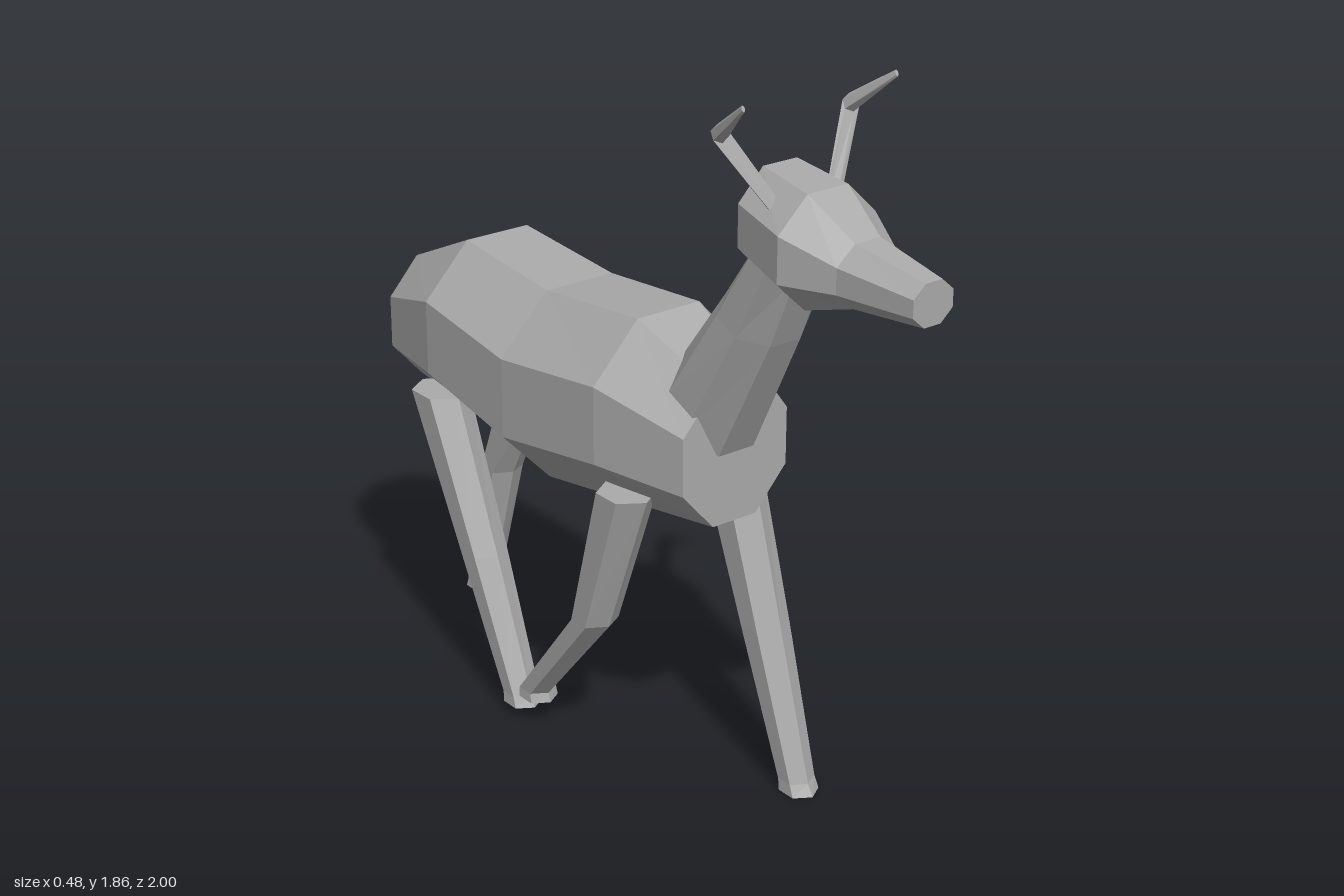
import * as THREE from 'three';

const coat = new THREE.MeshStandardMaterial({ color: 0xaaaaaa, flatShading: true });
coat.name = 'grey coat';

// Skin a row of n-sided rings. Ring: [x, y, z, half width in x, then the y and z of its other half axis].
function loft(name, n, rings) {
  const grow = 1 / Math.cos(Math.PI / n);
  const pos = [];
  for (const [x, y, z, rx, vy, vz] of rings) {
    for (let k = 0; k < n; k++) {
      const a = ((k + 0.5) / n) * Math.PI * 2;
      const c = Math.cos(a) * grow, s = Math.sin(a) * grow;
      pos.push(x + rx * c, y + vy * s, z + vz * s);
    }
  }
  const index = [];
  for (let i = 0; i < rings.length - 1; i++) {
    for (let k = 0; k < n; k++) {
      const a = i * n + k, b = i * n + ((k + 1) % n);
      index.push(a, b, b + n, a, b + n, a + n);
    }
  }
  const last = (rings.length - 1) * n;
  for (let k = 1; k < n - 1; k++) {
    index.push(0, k + 1, k, last, last + k, last + k + 1);
  }
  const indexed = new THREE.BufferGeometry();
  indexed.setAttribute('position', new THREE.Float32BufferAttribute(pos, 3));
  indexed.setIndex(index);
  const geometry = indexed.toNonIndexed();
  geometry.computeVertexNormals();
  const mesh = new THREE.Mesh(geometry, coat);
  mesh.name = name;
  return mesh;
}

// Leg rings from hip to hoof: [y, z, half width, half depth]
const leg = (name, x, rings) =>
  loft(name, 6, rings.map(([y, z, rx, rz]) => [x, y, z, rx, 0, rz]));

export function createModel() {
  const model = new THREE.Group();
  model.name = 'deer';

  // Barrel, rump to chest
  model.add(loft('body', 8, [
    [-0.008, 0.905, -0.873, 0.147, 0.165, 0],
    [0, 0.962, -0.6, 0.222, 0.233, 0],
    [0, 0.918, -0.25, 0.238, 0.248, 0],
    [0, 0.962, 0.1, 0.222, 0.238, 0],
    [0, 0.925, 0.35, 0.155, 0.175, 0],
  ]));

  // Neck, shoulders to skull
  model.add(loft('neck', 8, [
    [0, 1.035, 0.287, 0.125, 0.107, -0.066],
    [0, 1.29, 0.438, 0.108, 0.04, -0.078],
    [-0.002, 1.47, 0.54, 0.1, 0.038, -0.054],
  ]));

  // Head, back of the skull to muzzle
  model.add(loft('head', 8, [
    [0.003, 1.54, 0.482, 0.117, 0.122, 0],
    [-0.016, 1.52, 0.66, 0.138, 0.131, 0],
    [-0.017, 1.5, 0.79, 0.086, 0.073, 0],
    [-0.025, 1.497, 1, 0.056, 0.049, 0],
  ]));

  // Horns, swept back and then kinked forward
  for (const side of [1, -1]) {
    const x = (d) => -0.012 + side * d;
    model.add(loft(side > 0 ? 'leftHorn' : 'rightHorn', 6, [
      [x(0.08), 1.6, 0.585, 0.019, 0.003, -0.009],
      [x(0.185), 1.772, 0.517, 0.021, 0.016, -0.008],
      [x(0.214), 1.858, 0.627, 0.004, 0.006, -0.003],
    ]));
  }

  // Tail
  model.add(loft('tail', 6, [
    [-0.006, 1.012, -0.865, 0.04, -0.037, 0.004],
    [-0.014, 0.932, -0.95, 0.028, -0.025, 0.008],
    [-0.026, 0.835, -0.997, 0.014, -0.014, 0.003],
  ]));

  // Legs in mid stride
  model.add(leg('leftFrontLeg', 0.153, [
    [0.79, 0.155, 0.059, 0.072],
    [0.4, 0.292, 0.052, 0.053],
    [0.03, 0.42, 0.04, 0.038],
    [0, 0.43, 0.042, 0.045],
  ]));
  model.add(leg('rightFrontLeg', -0.157, [
    [0.79, 0.14, 0.061, 0.068],
    [0.4, 0.012, 0.051, 0.05],
    [0.1, -0.236, 0.04, 0.041],
    [0.075, -0.233, 0.042, 0.045],
  ]));
  model.add(leg('leftHindLeg', 0.153, [
    [0.79, -0.655, 0.059, 0.073],
    [0.42, -0.825, 0.051, 0.046],
    [0.035, -0.925, 0.04, 0.039],
    [0.012, -0.928, 0.042, 0.045],
  ]));
  model.add(leg('rightHindLeg', -0.157, [
    [0.79, -0.645, 0.061, 0.072],
    [0.4, -0.465, 0.051, 0.055],
    [0.055, -0.31, 0.04, 0.039],
    [0.028, -0.303, 0.042, 0.045],
  ]));

  return model;
}
